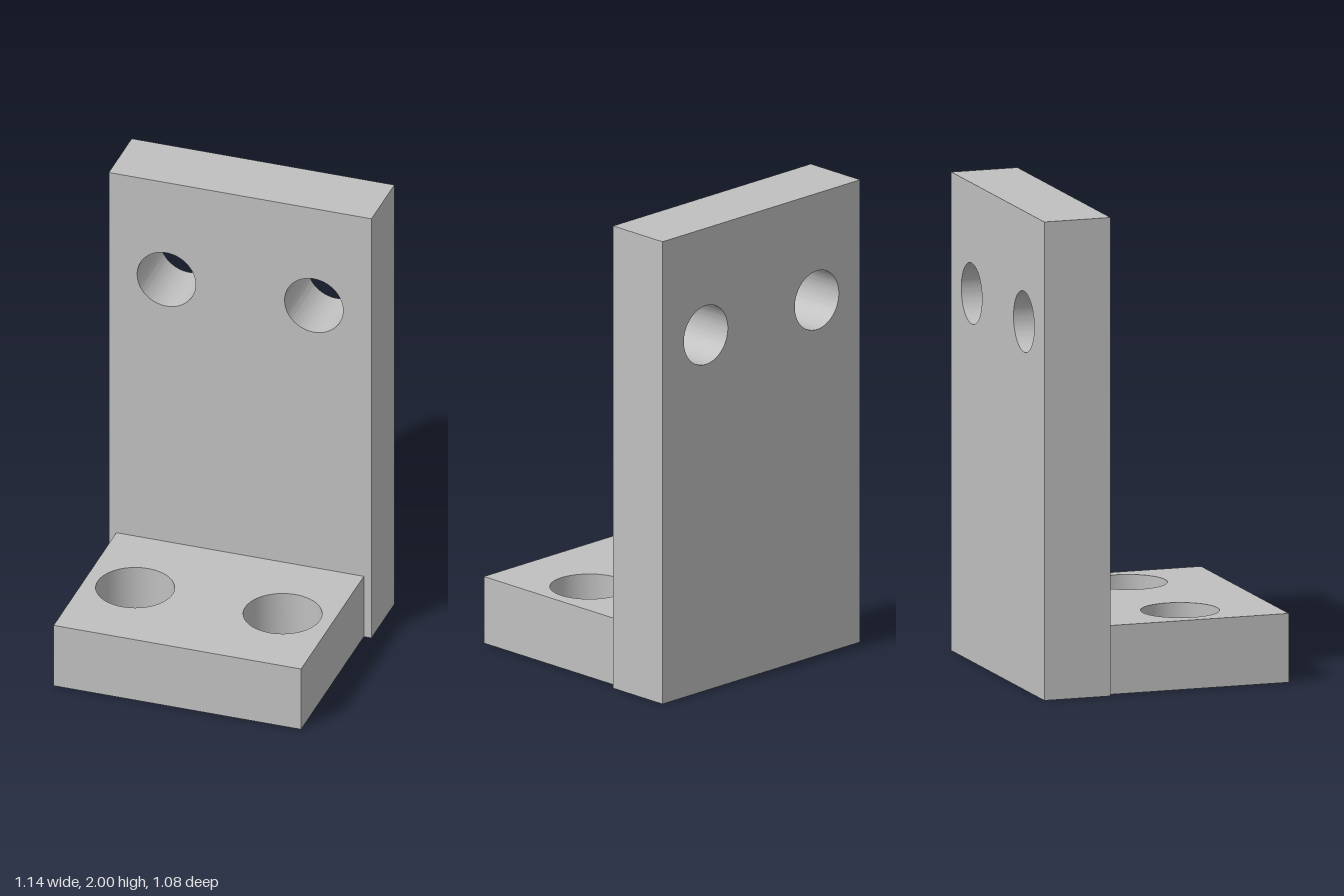
import * as THREE from 'three';
import { toCreasedNormals } from 'three/addons/utils/BufferGeometryUtils.js';

// Rectangular plate in XY with a mirrored pair of round holes, extruded along +z
function drilledPlate(halfWidth, y0, y1, depth, holeX, holeY, holeRadius) {
  const shape = new THREE.Shape([
    new THREE.Vector2(-halfWidth, y0),
    new THREE.Vector2(halfWidth, y0),
    new THREE.Vector2(halfWidth, y1),
    new THREE.Vector2(-halfWidth, y1),
  ]);
  for (const side of [-1, 1]) {
    shape.holes.push(new THREE.Path().absarc(side * holeX, holeY, holeRadius, 0, Math.PI * 2, true));
  }
  const geometry = new THREE.ExtrudeGeometry(shape, { depth, bevelEnabled: false, curveSegments: 48 });
  return toCreasedNormals(geometry, Math.PI / 6);
}

export function createModel() {
  const group = new THREE.Group();
  group.name = 'angleBracket';
  const greyMetal = new THREE.MeshStandardMaterial({ color: 0xc0c0c0 });
  greyMetal.name = 'greyMetal';

  // Upright back plate with two bolt holes
  const backPlate = new THREE.Mesh(drilledPlate(0.57, 0, 2, 0.288, 0.32, 1.538, 0.127), greyMetal);
  backPlate.name = 'backPlate';
  backPlate.position.z = -0.538;
  group.add(backPlate);

  // Narrower foot lying flat: shape y becomes -z, depth becomes height
  const footPlate = new THREE.Mesh(drilledPlate(0.537, -0.538, 0.25, 0.288, 0.32, -0.142, 0.162), greyMetal);
  footPlate.name = 'footPlate';
  footPlate.rotation.x = -Math.PI / 2;
  group.add(footPlate);

  return group;
}
